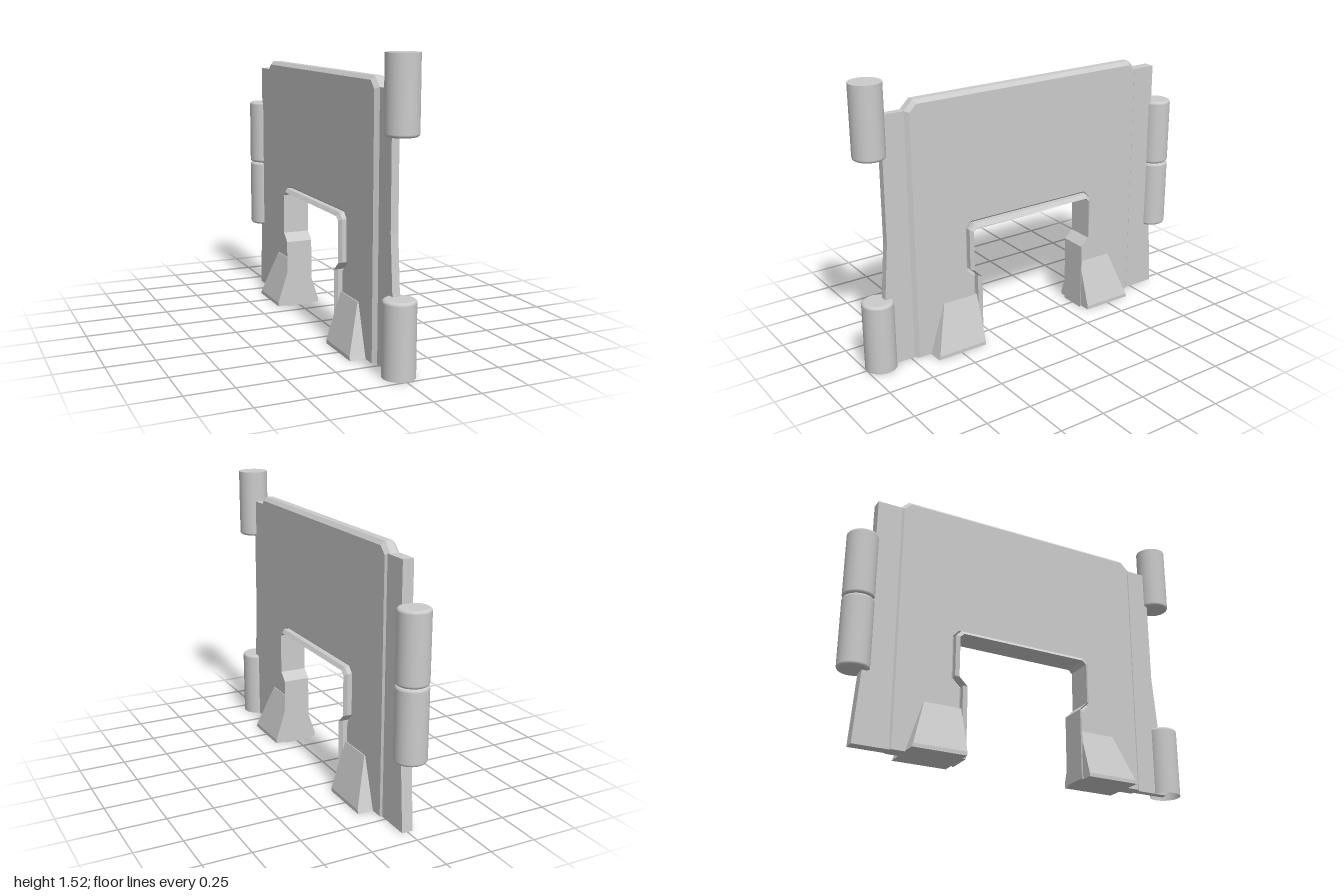
import * as THREE from 'three';

const grey = new THREE.MeshStandardMaterial({ color: 0xcccccc, flatShading: true });
const smoothGrey = new THREE.MeshStandardMaterial({ color: 0xcccccc, side: THREE.DoubleSide });

// Extrudes a (z, y) outline along x, centred on x = 0
function plate(points, width, bevel = 0) {
  const shape = new THREE.Shape(points.map(([z, y]) => new THREE.Vector2(z, y)));
  const depth = width - 2 * bevel;
  const geo = new THREE.ExtrudeGeometry(shape, {
    depth, bevelEnabled: bevel > 0, bevelThickness: bevel,
    bevelSize: bevel, bevelOffset: -bevel, bevelSegments: 1,
  });
  geo.translate(0, 0, -depth / 2);
  geo.rotateY(-Math.PI / 2);
  return geo;
}

// Moves every vertex by a rule
function reshape(geo, rule) {
  const pos = geo.attributes.position;
  const v = new THREE.Vector3();
  for (let i = 0; i < pos.count; i++) {
    rule(v.fromBufferAttribute(pos, i));
    pos.setXYZ(i, v.x, v.y, v.z);
  }
  geo.computeVertexNormals();
  return geo;
}

// Adds the other half of a half outline
const mirrored = (half) => [...half, ...half.slice().reverse().map(([z, y]) => [-z, y])];

export function createModel() {
  const group = new THREE.Group();
  const add = (name, geo, mat = grey) => {
    const mesh = new THREE.Mesh(geo, mat);
    mesh.name = name;
    group.add(mesh);
    return mesh;
  };

  // Main wall with chamfered edges and a doorway; its foot stays flat on the ground
  const wallHalf = [
    [0.342, 0], [0.73, 0], [0.73, 1.35], [0.68, 1.4],
  ];
  const doorHalf = [[0.342, 0], [0.342, 0.388], [0.388, 0.432], [0.388, 0.655], [0.365, 0.68]];
  const wall = [
    ...mirrored(wallHalf.slice(1)),
    ...mirrored(doorHalf).reverse(),
  ];
  add('wall', reshape(plate(wall, 0.08, 0.02), (v) => { if (v.y < 0.03) v.y = 0; }));

  // Thin panels at both ends, flaring toward the ground
  for (const [side, width, name] of [[1, 0.04, 'frontEndPanel'], [-1, 0.06, 'backEndPanel']]) {
    const outline = [[0.69, 0], [0.91, 0], [0.882, 0.38], [0.857, 0.68], [0.855, 1.35], [0.69, 1.35]];
    add(name, plate(outline.map(([z, y]) => [z * side, y]), width));
  }

  // Doorway frame, narrower along its outer edge
  const outer = mirrored([[0.352, 0], [0.352, 0.39], [0.398, 0.435], [0.398, 0.66], [0.37, 0.69]]);
  const inner = mirrored([[0.333, 0], [0.333, 0.382], [0.38, 0.428], [0.38, 0.65], [0.358, 0.67]]);
  const frame = plate([...outer, ...inner.reverse()], 0.15);
  add('doorFrame', reshape(frame, (v) => {
    if (outer.some(([z, y]) => Math.hypot(z - v.z, y - v.y) < 1e-4)) v.x = Math.sign(v.x) * 0.06;
  }));

  // Tapered buttress feet on a low plinth
  for (const side of [1, -1]) {
    const foot = reshape(new THREE.BoxGeometry(2, 2, 1, 1, 2, 1), (v) => {
      const level = Math.round(v.y) + 1;
      v.x *= [0.125, 0.125, 0.045][level];
      v.z = v.z < 0 ? 0.35 : [0.642, 0.635, 0.555][level];
      v.y = [0, 0.02, 0.27][level];
    });
    add(side > 0 ? 'frontFoot' : 'backFoot', foot).rotation.y = side > 0 ? 0 : Math.PI;
  }

  // Hinge barrels with rounded ends where they meet each other
  const R = 0.083;
  const E = 0.016;
  const barrel = (name, z, y0, y1, bottom, top) => {
    const arc = [0, 0.25, 0.5, 0.75, 1].map((t) => t * Math.PI / 2);
    const round = (y, dir) => arc.map((a) => [R - E + E * Math.sin(a), y + dir * E * (1 - Math.cos(a))]);
    const low = bottom === 'round' ? [[0, y0], [R - E, y0], ...round(y0, 1)] : [[R, y0]];
    const high = top === 'round'
      ? [...round(y1, -1).reverse(), [R - E, y1], [0, y1]]
      : [[R, y1], [R, y1], [0, y1]];
    const profile = [...low, ...high].map(([r, y]) => new THREE.Vector2(r, y));
    add(name, new THREE.LatheGeometry(profile, 32), smoothGrey).position.z = z;
  };
  barrel('frontLowerBarrel', 0.917, 0, 0.38, 'open', 'round');
  barrel('frontUpperBarrel', 0.917, 1.14, 1.52, 'round', 'flat');
  barrel('backLowerBarrel', -0.917, 0.38, 0.768, 'round', 'round');
  barrel('backUpperBarrel', -0.917, 0.768, 1.14, 'round', 'round');

  return group;
}
